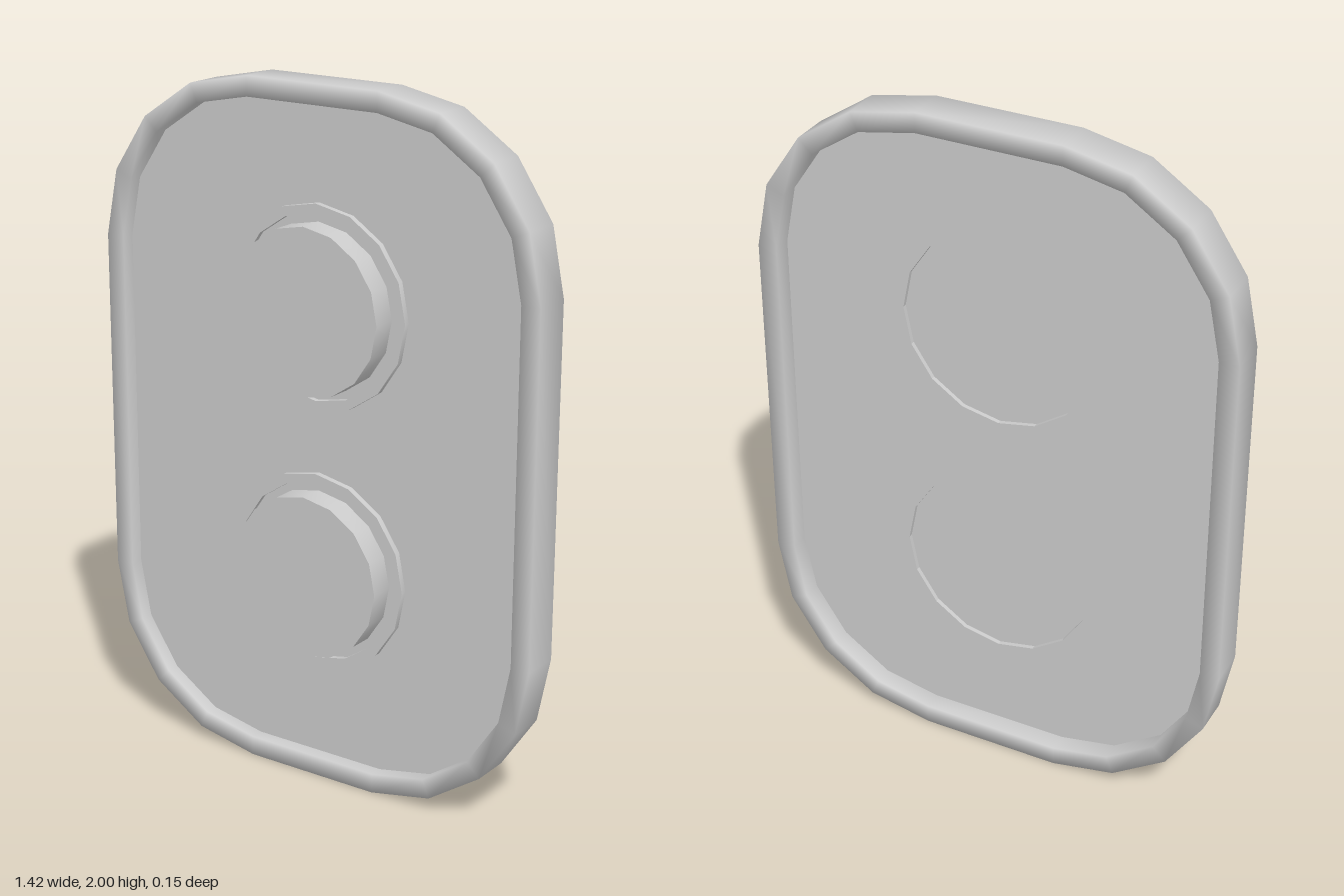
import * as THREE from 'three';
import { toCreasedNormals } from 'three/addons/utils/BufferGeometryUtils.js';

const HALF_W = 0.71, CORNER = 0.5, RIM = 0.057;
const BACK = -0.075, FRONT = 0.042;
const BUTTON_Y = [0.62, 1.385];

// Rounded rectangle, four facets per corner, counter-clockwise
function outline(inset) {
  const points = [];
  const dx = HALF_W - CORNER, dy = 1 - CORNER, r = CORNER - inset;
  [[1, 1], [-1, 1], [-1, -1], [1, -1]].forEach(([sx, sy], q) => {
    for (let i = 0; i <= 4; i++) {
      const a = (q + i / 4) * Math.PI / 2;
      points.push(new THREE.Vector2(sx * dx + r * Math.cos(a), 1 + sy * dy + r * Math.sin(a)));
    }
  });
  return points;
}

// Sweeps a closed [inset, z] section around the outline, smooth shaded
function rimGeometry(section) {
  const loops = section.map(([inset]) => outline(inset));
  const n = loops[0].length, m = section.length;
  const positions = [], index = [];
  for (let i = 0; i < n; i++) {
    for (let j = 0; j < m; j++) {
      positions.push(loops[j][i].x, loops[j][i].y, section[j][1]);
      const i2 = (i + 1) % n, j2 = (j + 1) % m;
      const a = i * m + j, b = i * m + j2, c = i2 * m + j, d = i2 * m + j2;
      index.push(a, c, d, a, d, b);
    }
  }
  const geometry = new THREE.BufferGeometry();
  geometry.setAttribute('position', new THREE.Float32BufferAttribute(positions, 3));
  geometry.setIndex(index);
  geometry.computeVertexNormals();
  return geometry;
}

export function createModel() {
  const model = new THREE.Group();
  const material = new THREE.MeshStandardMaterial({ color: 0xcccccc });
  const add = (name, geometry) => {
    const mesh = new THREE.Mesh(geometry, material);
    mesh.name = name;
    model.add(mesh);
    return mesh;
  };

  // Raised border
  add('rim', rimGeometry([[0, BACK], [0, FRONT], [RIM, FRONT], [RIM, BACK]]));

  // Recessed panel with two round openings
  const shape = new THREE.Shape(outline(RIM));
  for (const y of BUTTON_Y) {
    shape.holes.push(new THREE.Path().absarc(0, y, 0.29, 0, Math.PI * 2, true));
  }
  const panel = new THREE.ExtrudeGeometry(shape, { depth: 0.02, bevelEnabled: false, curveSegments: 8 });
  panel.translate(0, 0, -0.018);
  add('panel', panel);

  // Buttons: collar, narrow groove and round cap turned in one profile
  const profile = [
    [0, -0.005], [0.29, -0.005], [0.29, 0.02], [0.262, 0.02],
    [0.262, 0.005], [0.238, 0.005], [0.238, 0.078], [0, 0.078],
  ].map(([r, z]) => new THREE.Vector2(r, z));
  const button = toCreasedNormals(new THREE.LatheGeometry(profile, 16), 0.6);
  button.rotateX(Math.PI / 2);
  BUTTON_Y.forEach((y, i) => {
    add(i ? 'upperButton' : 'lowerButton', button).position.y = y;
  });

  return model;
}
